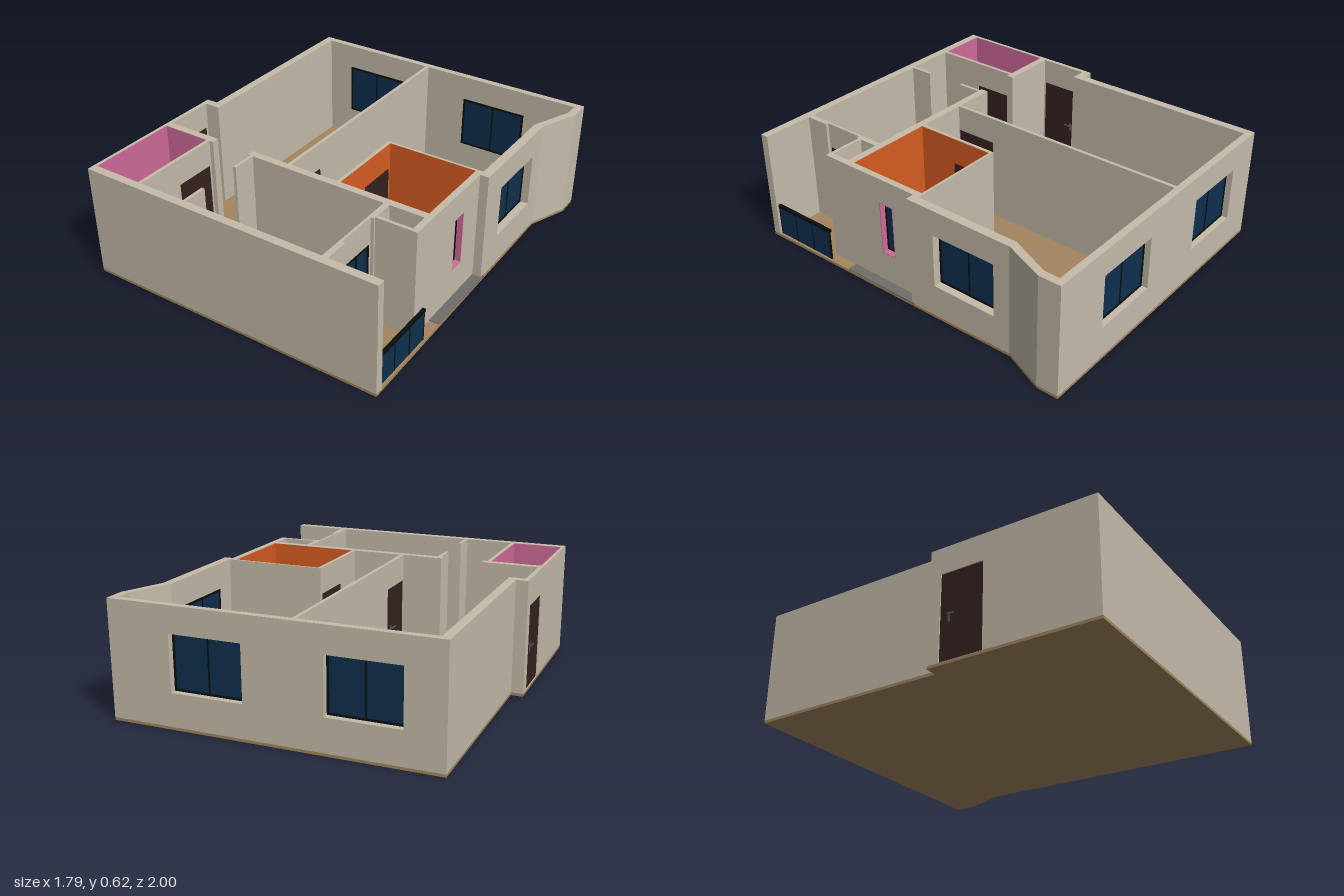
import * as THREE from 'three';

const H = 0.625, BASE = 0.014;

export function createModel() {
  const root = new THREE.Group();
  root.name = 'apartment';
  const mat = (name, color) => {
    const m = new THREE.MeshStandardMaterial({ color });
    m.name = name;
    return m;
  };
  const plaster = mat('plaster', 0xc4bbaa);
  const wood = mat('wood floor', 0xa2855d);
  const tile = mat('grey tile', 0x6f6d6a);
  const orange = mat('orange wall', 0xd65c22);
  const pink = mat('pink wall', 0xd06a98);
  const glass = mat('blue glass', 0x0f2f4e);
  const black = mat('black frame', 0x0c0d0d);
  const doorBrown = mat('dark door', 0x35211f);
  const metal = mat('handle metal', 0x55555a);

  const add = (parent, name, geo, material) => {
    const m = new THREE.Mesh(geo, material);
    m.name = name;
    parent.add(m);
    return m;
  };

  // Box given by its bounds
  const box = (parent, name, material, x0, x1, y0, y1, z0, z1) => {
    const g = new THREE.BoxGeometry(x1 - x0, y1 - y0, z1 - z0);
    g.translate((x0 + x1) / 2, (y0 + y1) / 2, (z0 + z1) / 2);
    return add(parent, name, g, material);
  };

  // Box along a run: axis 'x' or 'z', a..b along the run, t0..t1 across it
  const runBox = (parent, name, material, axis, a, b, t0, t1, y0, y1) =>
    axis === 'x' ? box(parent, name, material, a, b, y0, y1, t0, t1)
      : box(parent, name, material, t0, t1, y0, y1, a, b);

  // Vertical prism over a plan outline of [x, z] points
  const prism = (name, material, pts, y0, y1) => {
    const s = new THREE.Shape(pts.map(([x, z]) => new THREE.Vector2(x, -z)));
    const g = new THREE.ExtrudeGeometry(s, { depth: y1 - y0, bevelEnabled: false });
    g.rotateX(-Math.PI / 2).translate(0, y0, 0);
    return add(root, name, g, material);
  };

  // Straight wall with rectangular openings [a, b, y0, y1]
  const wall = (name, axis, a, b, t0, t1, openings = [], material = plaster, top = H) => {
    const k = axis === 'x' ? 1 : -1;
    const rect = (T, p, q, y0, y1) => {
      const l = Math.min(p * k, q * k), r = Math.max(p * k, q * k);
      return new T([[l, y0], [r, y0], [r, y1], [l, y1]].map(c => new THREE.Vector2(...c)));
    };
    const s = rect(THREE.Shape, a, b, BASE, top);
    for (const o of openings) s.holes.push(rect(THREE.Path, ...o));
    const g = new THREE.ExtrudeGeometry(s, { depth: t1 - t0, bevelEnabled: false });
    if (axis === 'z') g.rotateY(Math.PI / 2).translate(t0, 0, 0);
    else g.translate(0, 0, t0);
    return add(root, name, g, material);
  };

  // Framed window filling an opening
  const windowUnit = (name, axis, t0, t1, [a, b, y0, y1], panes) => {
    const g = new THREE.Group();
    g.name = name;
    root.add(g);
    const f = 0.012, mid = (t0 + t1) / 2;
    runBox(g, 'glass', glass, axis, a, b, mid - 0.002, mid + 0.002, y0, y1);
    runBox(g, 'frameTop', black, axis, a, b, t0, t1, y1 - f, y1);
    runBox(g, 'frameBottom', black, axis, a, b, t0, t1, y0, y0 + f);
    runBox(g, 'frameSide', black, axis, a, a + f, t0, t1, y0, y1);
    runBox(g, 'frameSide', black, axis, b - f, b, t0, t1, y0, y1);
    for (let i = 1; i < panes; i++) {
      const c = a + (b - a) * i / panes;
      runBox(g, 'mullion', black, axis, c - 0.004, c + 0.004, t0, t1, y0, y1);
    }
  };

  // Door leaf in a wall along z, with a lever handle on both faces
  const door = (name, x0, x1, [a, b, y0, y1], handleZ, dir) => {
    const g = new THREE.Group();
    g.name = name;
    root.add(g);
    box(g, 'leaf', doorBrown, x0, x1, y0, y1, a, b);
    for (const [x, s] of [[x0, -1], [x1, 1]]) {
      const bar = (p, q, ...r) =>
        box(g, 'handle', metal, Math.min(x + s * p, x + s * q), Math.max(x + s * p, x + s * q), ...r);
      bar(0, 0.004, 0.215, 0.265, handleZ - 0.006, handleZ + 0.006);
      bar(0, 0.014, 0.246, 0.254, handleZ - 0.004, handleZ + 0.004);
      const end = handleZ + dir * 0.036;
      bar(0.01, 0.016, 0.246, 0.254, Math.min(handleZ, end), Math.max(handleZ, end));
    }
  };

  // Floors
  prism('floorSlab', wood, [[-0.82, -1], [0.895, -1], [0.895, -0.88], [0.805, -0.655], [0.82, 1],
    [-0.885, 1], [-0.885, 0.09], [-0.82, 0.09]], 0, 0.015);
  box(root, 'bathroomTiles', tile, 0.215, 0.812, 0.012, 0.02, -0.05, 0.42);
  box(root, 'storeTiles', tile, -0.875, -0.58, 0.012, 0.02, 0.43, 0.96);

  // Openings
  const winY = [0.19, 0.485], doorY = [0.016, 0.48];
  const backWins = [[-0.62, -0.24, ...winY], [0.175, 0.56, ...winY]];
  const sideWin = [-0.56, -0.19, ...winY];
  const bathWin = [0.12, 0.207, ...winY];
  const balconyDoor = [0.6, 0.81, ...doorY];
  const frontDoor = [0.155, 0.395, ...doorY];
  const roomDoor = [0.165, 0.4, ...doorY];
  const bathDoor = [-0.045, 0.187, ...doorY];
  const storeDoor = [0.46, 0.69, ...doorY];

  // Outer walls
  wall('backWall', 'x', -0.82, 0.895, -1, -0.962, backWins);
  wall('frontWall', 'x', -0.885, 0.82, 0.955, 1);
  wall('rightSideWall', 'z', -1, 0.135, -0.82, -0.773);
  wall('entranceReturn', 'x', -0.885, -0.773, 0.092, 0.136);
  wall('entranceWall', 'z', 0.092, 0.45, -0.885, -0.86, [frontDoor]);
  wall('storeOuterWall', 'z', 0.41, 1, -0.885, -0.867);
  prism('angledWall', plaster, [[0.895, -1], [0.895, -0.88], [0.805, -0.655], [0.757, -0.655],
    [0.852, -0.88], [0.852, -1]], BASE, H);
  wall('leftSideWall', 'z', -0.655, -0.03, 0.757, 0.805, [sideWin]);
  wall('bathroomOuterWall', 'z', -0.065, 0.573, 0.722, 0.757, [bathWin]);

  // Inner walls
  wall('bedroomDivider', 'z', -0.962, 0.41, -0.092, -0.072, [roomDoor]);
  wall('bathroomBackWall', 'x', 0.205, 0.76, -0.067, -0.054);
  wall('bathroomSideWall', 'z', -0.067, 0.41, 0.205, 0.224, [bathDoor]);
  wall('hallWall', 'x', -0.885, -0.545, 0.408, 0.449);
  wall('livingWall', 'x', -0.315, 0.757, 0.408, 0.449);
  wall('storeInnerWall', 'z', 0.449, 0.955, -0.589, -0.569, [storeDoor]);
  for (const [a, b] of [[0.449, 0.585], [0.82, 0.955]]) {
    wall('passageStub', 'z', a, b, -0.3, -0.282);
    wall('balconyPier', 'z', a, b, 0.5, 0.532);
  }
  wall('balconyDoorWall', 'z', 0.585, 0.82, 0.5, 0.515, [balconyDoor]);
  wall('shaftWall', 'x', 0.5, 0.757, 0.555, 0.574);

  // Painted linings of the bathroom and the store
  const lining = (name, m, x0, x1, z0, z1, left, right) => {
    const t = 0.003, top = H - 0.001;
    wall(name, 'x', x0, x1, z0, z0 + t, [], m, top);
    wall(name, 'x', x0, x1, z1 - t, z1, [], m, top);
    wall(name, 'z', z0, z1, x0, x0 + t, left, m, top);
    wall(name, 'z', z0, z1, x1 - t, x1, right, m, top);
  };
  lining('bathroomLining', orange, 0.223, 0.723, -0.055, 0.409, [bathDoor], [bathWin]);
  lining('storeLining', pink, -0.868, -0.588, 0.448, 0.956, [], [storeDoor]);

  // Pink reveal around the bathroom window
  const [ra, rb, r0, r1] = bathWin;
  box(root, 'windowReveal', pink, 0.722, 0.757, r0, r1, ra - 0.001, ra + 0.003);
  box(root, 'windowReveal', pink, 0.722, 0.757, r0, r1, rb - 0.003, rb + 0.001);
  box(root, 'windowReveal', pink, 0.722, 0.757, r0 - 0.001, r0 + 0.003, ra, rb);
  box(root, 'windowReveal', pink, 0.722, 0.757, r1 - 0.003, r1 + 0.001, ra, rb);

  // Windows
  for (const w of backWins) windowUnit('backWindow', 'x', -0.967, -0.957, w, 2);
  windowUnit('sideWindow', 'z', 0.751, 0.762, sideWin, 2);
  windowUnit('bathroomWindow', 'z', 0.714, 0.725, bathWin, 1);
  windowUnit('balconyDoor', 'z', 0.503, 0.516, balconyDoor, 2);

  // Doors
  door('frontDoor', -0.88, -0.855, frontDoor, 0.205, 1);
  door('roomDoor', -0.09, -0.068, roomDoor, 0.215, 1);
  door('bathroomDoor', 0.2, 0.222, bathDoor, 0.14, -1);
  door('storeDoor', -0.592, -0.571, storeDoor, 0.64, -1);

  // Balcony railing with three glass panels
  const rail = new THREE.Group();
  rail.name = 'balconyRailing';
  root.add(rail);
  box(rail, 'railGlass', glass, 0.798, 0.804, 0.015, 0.19, 0.56, 0.955);
  box(rail, 'handrail', black, 0.791, 0.808, 0.184, 0.2, 0.553, 0.957);
  for (const z of [0.56, 0.692, 0.823, 0.952])
    box(rail, 'railPost', black, 0.796, 0.806, 0.015, 0.19, z - 0.003, z + 0.003);

  return root;
}
